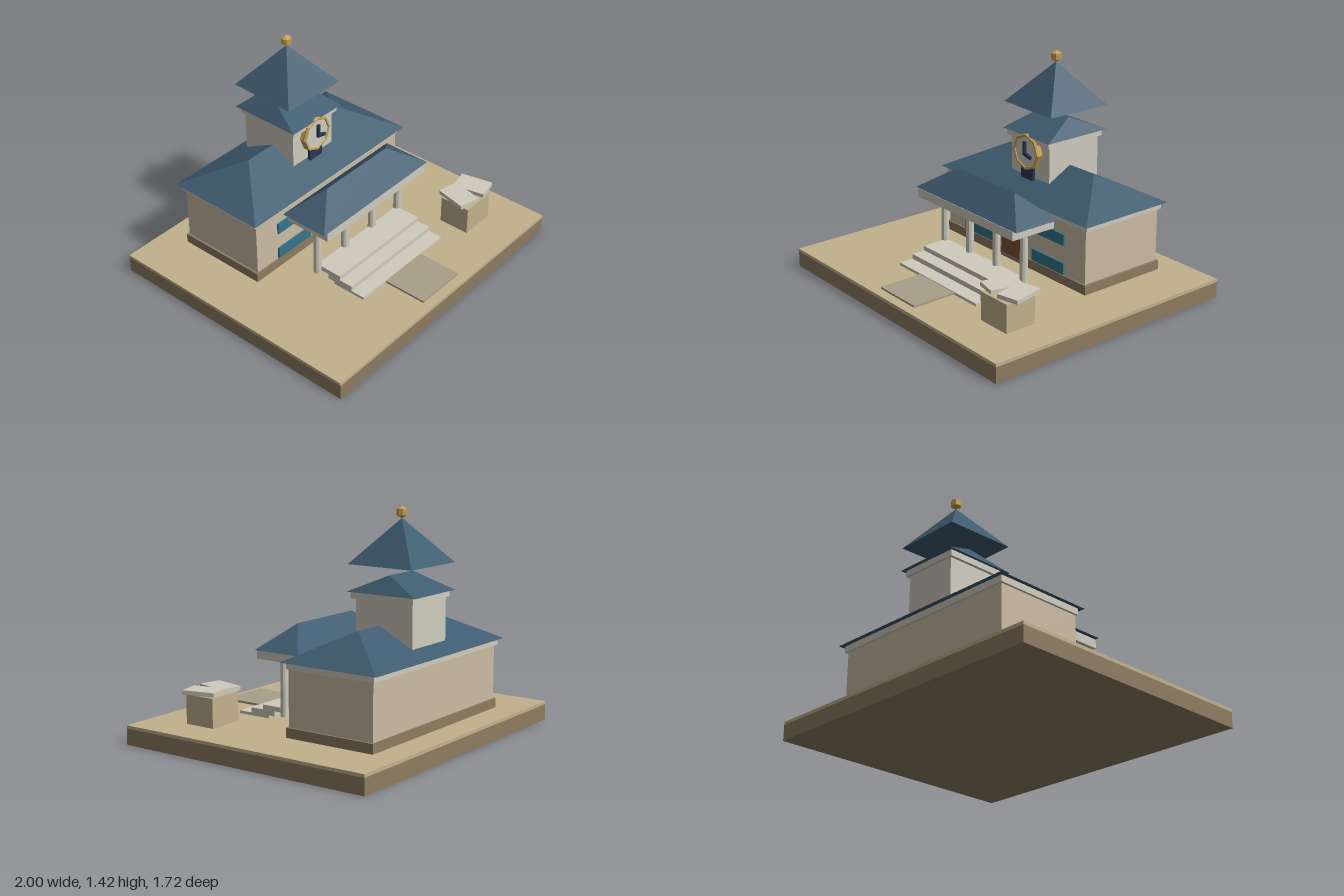
import * as THREE from 'three';

const COLORS = {
  ground: 0xc2b28c, earth: 0x8e7c62, wall: 0xcbbca4, trim: 0xcfccbe, roof: 0x3f5c70,
  door: 0x7a5238, glass: 0x33758c, gold: 0xc0a050, navy: 0x2a3550, path: 0xa89f88,
};
const mats = {};
for (const [key, color] of Object.entries(COLORS)) {
  mats[key] = new THREE.MeshStandardMaterial({ color, flatShading: true });
}

export function createModel() {
  const model = new THREE.Group();
  model.name = 'townHall';

  function add(name, geometry, mat, x = 0, y = 0, z = 0) {
    const mesh = new THREE.Mesh(geometry, mats[mat]);
    mesh.name = name;
    mesh.position.set(x, y, z);
    model.add(mesh);
    return mesh;
  }
  // Box given by its limits on each axis
  function block(name, mat, x0, x1, y0, y1, z0, z1) {
    return add(name, new THREE.BoxGeometry(x1 - x0, y1 - y0, z1 - z0), mat,
      (x0 + x1) / 2, (y0 + y1) / 2, (z0 + z1) / 2);
  }
  // Hipped roof: rectangular eave, ridge along x, closed underneath
  function hipRoof(name, halfW, halfRidge, y0, y1, z0, z1) {
    const zm = (z0 + z1) / 2;
    const p = [
      [-halfW, y0, z1], [halfW, y0, z1], [halfW, y0, z0], [-halfW, y0, z0],
      [-halfRidge, y1, zm], [halfRidge, y1, zm],
    ];
    const faces = [0, 1, 5, 0, 5, 4, 2, 3, 4, 2, 4, 5, 1, 2, 5, 3, 0, 4, 0, 3, 2, 0, 2, 1];
    const g = new THREE.BufferGeometry();
    g.setAttribute('position', new THREE.Float32BufferAttribute(faces.flatMap((i) => p[i]), 3));
    g.computeVertexNormals();
    return add(name, g, 'roof');
  }

  // Ground slab
  block('groundSlab', 'earth', -1, 1, 0, 0.1, -0.86, 0.86);
  block('groundSurface', 'ground', -1, 1, 0.1, 0.12, -0.86, 0.86);

  // Main building
  block('plinth', 'earth', -0.67, 0.67, 0.12, 0.18, -0.685, -0.08);
  block('mainWalls', 'wall', -0.655, 0.655, 0.18, 0.52, -0.675, -0.09);
  block('mainCornice', 'trim', -0.67, 0.67, 0.52, 0.56, -0.69, -0.085);
  hipRoof('mainRoof', 0.695, 0.395, 0.56, 0.733, -0.72, -0.055);

  // Door and windows
  block('door', 'door', -0.09, 0.09, 0.155, 0.443, -0.1, -0.065);
  for (const side of [-1, 1]) {
    for (const [y0, y1] of [[0.185, 0.26], [0.372, 0.445]]) {
      const x = side * 0.33;
      block('window', 'glass', x - 0.145, x + 0.145, y0, y1, -0.1, -0.078);
    }
  }

  // Portico
  for (const x of [-0.385, -0.13, 0.13, 0.385]) {
    add('column', new THREE.CylinderGeometry(0.022, 0.027, 0.347, 10), 'trim', x, 0.3265, 0.153);
  }
  block('porticoBeam', 'trim', -0.46, 0.46, 0.5, 0.557, -0.015, 0.3);
  hipRoof('porticoRoof', 0.488, 0.275, 0.557, 0.705, -0.025, 0.297);

  // Steps and path
  const steps = [[0.12, 0.138, 0.28, 0.51], [0.138, 0.17, 0.235, 0.415], [0.17, 0.2, 0.145, 0.325]];
  for (const [y0, y1, z0, z1] of steps) block('step', 'trim', -0.38, 0.38, y0, y1, z0, z1);
  block('path', 'path', -0.17, 0.17, 0.12, 0.133, 0.5, 0.797);

  // Clock tower
  block('towerWalls', 'trim', -0.178, 0.178, 0.58, 0.88, -0.615, -0.22);
  block('towerCornice', 'trim', -0.197, 0.197, 0.878, 0.917, -0.63, -0.195);
  hipRoof('towerRoof', 0.216, 0.125, 0.917, 1.022, -0.655, -0.178);

  // Spire, turned slightly off square
  const spire = add('spire', new THREE.ConeGeometry(0.318, 0.265, 4), 'roof', 0, 1.2125, -0.42);
  spire.rotation.y = Math.PI / 4 - 0.025;
  add('finial', new THREE.SphereGeometry(0.037, 8, 3), 'gold', 0, 1.38, -0.42);

  // Clock
  function dial(name, mat, radius, z0, z1) {
    const g = new THREE.CylinderGeometry(radius, radius, z1 - z0, 8).rotateX(Math.PI / 2);
    add(name, g, mat, 0, 0.813, (z0 + z1) / 2);
  }
  dial('clockBody', 'gold', 0.115, -0.225, -0.19);
  dial('clockFace', 'trim', 0.1, -0.2, -0.183);
  add('clockRim', new THREE.TorusGeometry(0.108, 0.012, 6, 8), 'gold', 0, 0.813, -0.187);
  block('minuteHand', 'navy', -0.01, 0.01, 0.795, 0.882, -0.178, -0.163);
  const hourHand = block('hourHand', 'navy', -0.005, 0.06, 0.787, 0.807, -0.18, -0.165);
  hourHand.rotation.z = -0.27;
  block('towerVent', 'navy', -0.055, 0.055, 0.635, 0.72, -0.212, -0.193);

  // Pedestal with an open book
  block('pedestal', 'ground', 0.535, 0.765, 0.12, 0.3, 0.39, 0.595);
  for (const side of [-1, 1]) {
    const page = add('bookPage', new THREE.BoxGeometry(0.143, 0.026, 0.209), 'trim',
      0.662 + side * 0.073, 0.327, 0.483);
    page.rotation.y = side * 0.22;
  }

  return model;
}
